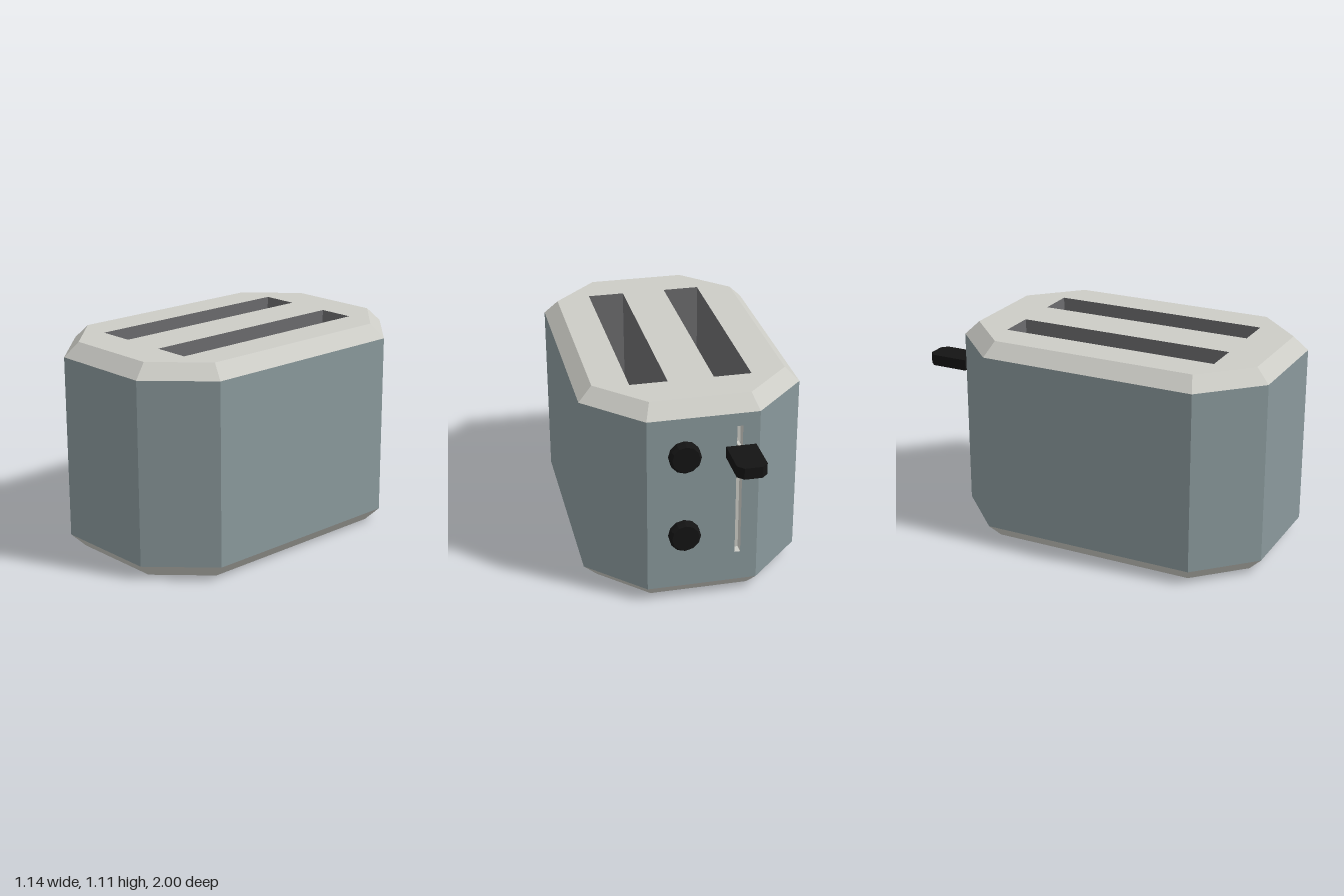
import * as THREE from 'three';

const mat = (color, side = THREE.FrontSide) =>
  new THREE.MeshStandardMaterial({ color, flatShading: true, side });

const CZ = 0.13; // centre of the housing along z
const BACK = -0.74;

// Octagonal outline as [x, z], starting at the front edge and going round by +x
function octagon(hx, hz, cut) {
  const x = hx - cut, z = hz - cut;
  return [[-x, hz], [x, hz], [hx, z], [hx, -z], [x, -hz], [-x, -hz], [-hx, -z], [-hx, z]]
    .map(([px, pz]) => [px, pz + CZ]);
}

// Wall between a lower and an upper outline; one edge may be left out
function wall(lower, y0, upper, y1, skip = -1) {
  const pos = [];
  lower.forEach(([ax, az], i) => {
    if (i === skip) return;
    const j = (i + 1) % lower.length;
    const a = [ax, y0, az], b = [lower[j][0], y0, lower[j][1]];
    const c = [upper[j][0], y1, upper[j][1]], d = [upper[i][0], y1, upper[i][1]];
    pos.push(...a, ...b, ...c, ...a, ...c, ...d);
  });
  const g = new THREE.BufferGeometry();
  g.setAttribute('position', new THREE.Float32BufferAttribute(pos, 3));
  g.computeVertexNormals();
  return g;
}

const toShape = (pts, sy = 1) => new THREE.Shape(pts.map(([x, y]) => new THREE.Vector2(x, y * sy)));
const rect = (x0, x1, z0, z1) => [[x0, z1], [x1, z1], [x1, z0], [x0, z0]];

export function createModel() {
  const model = new THREE.Group();
  const body = mat(0x8a999c), trim = mat(0xccccc6), lining = mat(0x6b6b6d);
  const black = mat(0x141414);

  function add(name, geometry, material, parent = model) {
    const m = new THREE.Mesh(geometry, material);
    m.name = name;
    parent.add(m);
    return m;
  }

  const wide = octagon(0.572, 0.87, 0.285);
  const narrow = octagon(0.5, 0.797, 0.242);
  const yLow = 0.075, yHigh = 1.04, yTop = 1.113;

  // Housing walls, with the back panel made apart to take the lever groove
  add('housing', wall(wide, yLow, wide, yHigh, 4), body);
  const leverX = -0.185, grooveLow = 0.24, grooveHigh = 0.97, grooveHalf = 0.015;
  const panel = toShape(rect(-0.287, 0.287, yLow, yHigh));
  panel.holes.push(toShape(rect(-leverX - grooveHalf, -leverX + grooveHalf, grooveLow, grooveHigh)));
  add('backPanel', new THREE.ShapeGeometry(panel).rotateY(Math.PI).translate(0, 0, BACK), body);
  add('leverGroove',
    new THREE.BoxGeometry(grooveHalf * 2, grooveHigh - grooveLow, 0.05)
      .translate(leverX, (grooveLow + grooveHigh) / 2, BACK + 0.025),
    mat(0xccccc6, THREE.BackSide));

  // Bevelled base and top
  add('baseBevel', wall(narrow, 0, wide, yLow), trim);
  add('baseBottom', new THREE.ShapeGeometry(toShape(narrow)).rotateX(Math.PI / 2), trim);
  add('topBevel', wall(wide, yHigh, narrow, yTop), trim);
  const top = toShape(narrow, -1);

  // Bread slots, slightly narrowing in length towards the floor
  const slotFloor = 0.3;
  for (const s of [-1, 1]) {
    const x0 = s * 0.217 - 0.098, x1 = s * 0.217 + 0.098;
    const rim = rect(x0, x1, -0.46, 0.72), floor = rect(x0, x1, -0.43, 0.7);
    top.holes.push(toShape(rim, -1));
    const slot = new THREE.Group();
    slot.name = s < 0 ? 'rightSlot' : 'leftSlot';
    add('slotWalls', wall([...floor].reverse(), slotFloor, [...rim].reverse(), yTop), lining, slot);
    add('slotFloor',
      new THREE.ShapeGeometry(toShape(floor, -1)).rotateX(-Math.PI / 2).translate(0, slotFloor, 0),
      lining, slot);
    model.add(slot);
  }
  add('topPlate', new THREE.ShapeGeometry(top).rotateX(-Math.PI / 2).translate(0, yTop, 0), trim);

  // Round control knobs on the back
  const profile = [[0.082, 0], [0.082, 0.032], [0.07, 0.046], [0, 0.046]]
    .map(([r, h]) => new THREE.Vector2(r, h));
  for (const [name, y] of [['upperKnob', 0.835], ['lowerKnob', 0.385]]) {
    add(name, new THREE.LatheGeometry(profile, 12).rotateX(-Math.PI / 2), black)
      .position.set(0.098, y, BACK);
  }

  // Push-down lever: thin stem and a paddle with clipped outer corners
  const lever = new THREE.Group();
  lever.name = 'lever';
  lever.position.set(leverX, 0.845, 0);
  add('leverStem', new THREE.BoxGeometry(0.015, 0.03, 0.09).translate(0, 0, -0.735), trim, lever);
  const paddle = toShape([[-0.077, 0.765], [0.077, 0.765], [0.077, 0.968],
    [0.046, 1], [-0.046, 1], [-0.077, 0.968]]);
  add('leverPaddle',
    new THREE.ExtrudeGeometry(paddle, { depth: 0.06, bevelEnabled: false })
      .rotateX(-Math.PI / 2).translate(0, -0.03, 0),
    black, lever);
  model.add(lever);

  return model;
}
